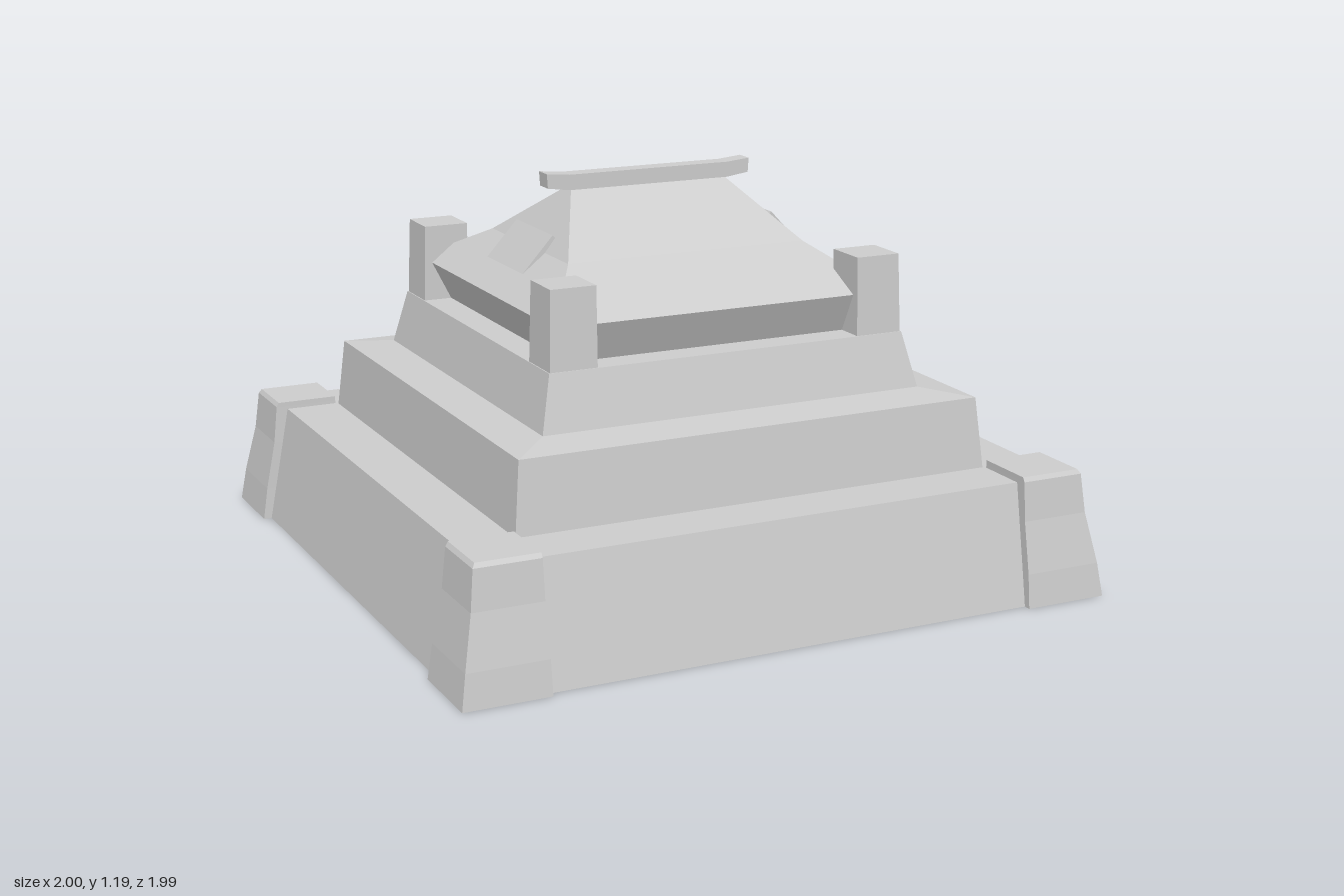
import * as THREE from 'three';

const stone = new THREE.MeshStandardMaterial({ color: 0xcccccc, flatShading: true, side: THREE.DoubleSide });
stone.name = 'paleStone';

// Skin stacked outlines (each { y, pts: [[x, z], ...] }) with flat faces; optional top cap.
function loft(sections, closed = true, cap = false) {
  const pos = [];
  const tri = (...v) => v.forEach(p => pos.push(...p));
  const at = (s, i) => {
    const p = s.pts[i % s.pts.length];
    return [p[0], s.y, p[1]];
  };
  const n = sections[0].pts.length;
  for (let k = 0; k + 1 < sections.length; k++) {
    const lo = sections[k], hi = sections[k + 1];
    for (let i = 0; i < (closed ? n : n - 1); i++) {
      const a = at(lo, i), b = at(lo, i + 1), c = at(hi, i + 1), d = at(hi, i);
      tri(a, d, c, a, c, b);
    }
  }
  if (cap) {
    const s = sections[sections.length - 1];
    for (let i = 1; i + 1 < n; i++) tri(at(s, 0), at(s, i + 1), at(s, i));
  }
  const g = new THREE.BufferGeometry();
  g.setAttribute('position', new THREE.Float32BufferAttribute(pos, 3));
  g.computeVertexNormals();
  return g;
}

const rect = (y, x0, x1, z0, z1) => ({ y, pts: [[x0, z0], [x1, z0], [x1, z1], [x0, z1]] });
const centred = (y, hx, hz = hx) => rect(y, -hx, hx, -hz, hz);

// A block between signed near and far distances, so it can sit in any corner
function corner(y, sx, sz, near, far, farZ = far) {
  const x = [sx * near, sx * far].sort((a, b) => a - b);
  const z = [sz * near, sz * farZ].sort((a, b) => a - b);
  return rect(y, x[0], x[1], z[0], z[1]);
}

function profile(points, depth) {
  const shape = new THREE.Shape(points.map(p => new THREE.Vector2(p[0], p[1])));
  return new THREE.ExtrudeGeometry(shape, { depth, bevelEnabled: false });
}

export function createModel() {
  const model = new THREE.Group();
  const add = (name, geometry, x = 0, y = 0, z = 0) => {
    const mesh = new THREE.Mesh(geometry, stone);
    mesh.name = name;
    mesh.position.set(x, y, z);
    model.add(mesh);
    return mesh;
  };
  const box = (name, x0, x1, y0, y1, z0, z1) => add(name,
    new THREE.BoxGeometry(x1 - x0, y1 - y0, z1 - z0), (x0 + x1) / 2, (y0 + y1) / 2, (z0 + z1) / 2);

  // Sloping outer wall and its ledge, left open at the back for the gate
  const gate = 0.187;
  const wallLine = (y, h) => ({ y, pts: [[gate, -h], [h, -h], [h, h], [-h, h], [-h, -h], [-gate, -h]] });
  add('outerWall', loft([wallLine(0, 0.975), wallLine(0.355, 0.907), wallLine(0.355, 0.74)], false));

  // Stepped upper tiers, hollow underneath
  add('upperTiers', loft([
    centred(0.355, 0.74), centred(0.565, 0.72), centred(0.582, 0.597),
    centred(0.745, 0.56), centred(0.745, 0.47),
  ]));

  // Overhanging hipped roof with a bend in its slopes
  add('roof', loft([
    centred(0.745, 0.47), centred(0.862, 0.53), centred(0.98, 0.38, 0.285), centred(1.145, 0.25, 0.015),
  ], true, true));

  // Ridge beam with raised ends
  add('ridgeBeam', profile([
    [-0.26, 1.14], [0.26, 1.14], [0.33, 1.15], [0.333, 1.193],
    [0.26, 1.186], [-0.26, 1.186], [-0.333, 1.193], [-0.33, 1.15],
  ], 0.058), 0, 0, -0.029);

  // Corner bastions and roof pillars
  for (const sx of [-1, 1]) {
    for (const sz of [-1, 1]) {
      add('cornerBastion', loft([
        corner(0, sx, sz, 0.745, 1, 0.997), corner(0.1, sx, sz, 0.746, 0.985),
        corner(0.25, sx, sz, 0.747, 0.955), corner(0.365, sx, sz, 0.748, 0.943),
        corner(0.378, sx, sz, 0.748, 0.935),
      ], true, true));
      add('roofPillar', loft([
        corner(0.745, sx, sz, 0.413, 0.557), corner(0.976, sx, sz, 0.413, 0.55),
      ], true, true));
    }
  }

  // Sloping panels set into both roof ends
  const panelStart = -0.152, panelDepth = 0.27;
  add('roofPanel', profile([
    [0.3, 0.98], [0.365, 1.04], [0.535, 0.86], [0.53, 0.745], [0.45, 0.745],
  ], panelDepth), 0, 0, panelStart);
  add('roofPanel', profile([
    [-0.3, 0.97], [-0.355, 1.03], [-0.5, 0.87], [-0.44, 0.85],
  ], panelDepth), 0, 0, panelStart);
  add('tierPanel', profile([
    [0.54, 0.747], [0.568, 0.747], [0.594, 0.64], [0.56, 0.64],
  ], panelDepth), 0, 0, panelStart);

  // Gate passage: side walls, threshold, posts and lintels
  for (const s of [-1, 1]) {
    const side = new THREE.Shape([
      new THREE.Vector2(0.975, 0), new THREE.Vector2(0.907, 0.355),
      new THREE.Vector2(0.74, 0.355), new THREE.Vector2(0.74, 0),
    ]);
    const jamb = add('gateSideWall', new THREE.ShapeGeometry(side), s * gate, 0, 0);
    jamb.rotation.y = Math.PI / 2;
    box('gatePost', Math.min(s * 0.12, s * 0.186), Math.max(s * 0.12, s * 0.186), 0, 0.44, -0.755, -0.65);
  }
  box('gateThreshold', -gate, gate, 0, 0.006, -0.98, -0.64);
  box('innerLintel', -0.186, 0.186, 0.37, 0.44, -0.763, -0.66);
  box('gateLintel', -0.218, 0.212, 0.44, 0.585, -0.793, -0.65);

  return model;
}
